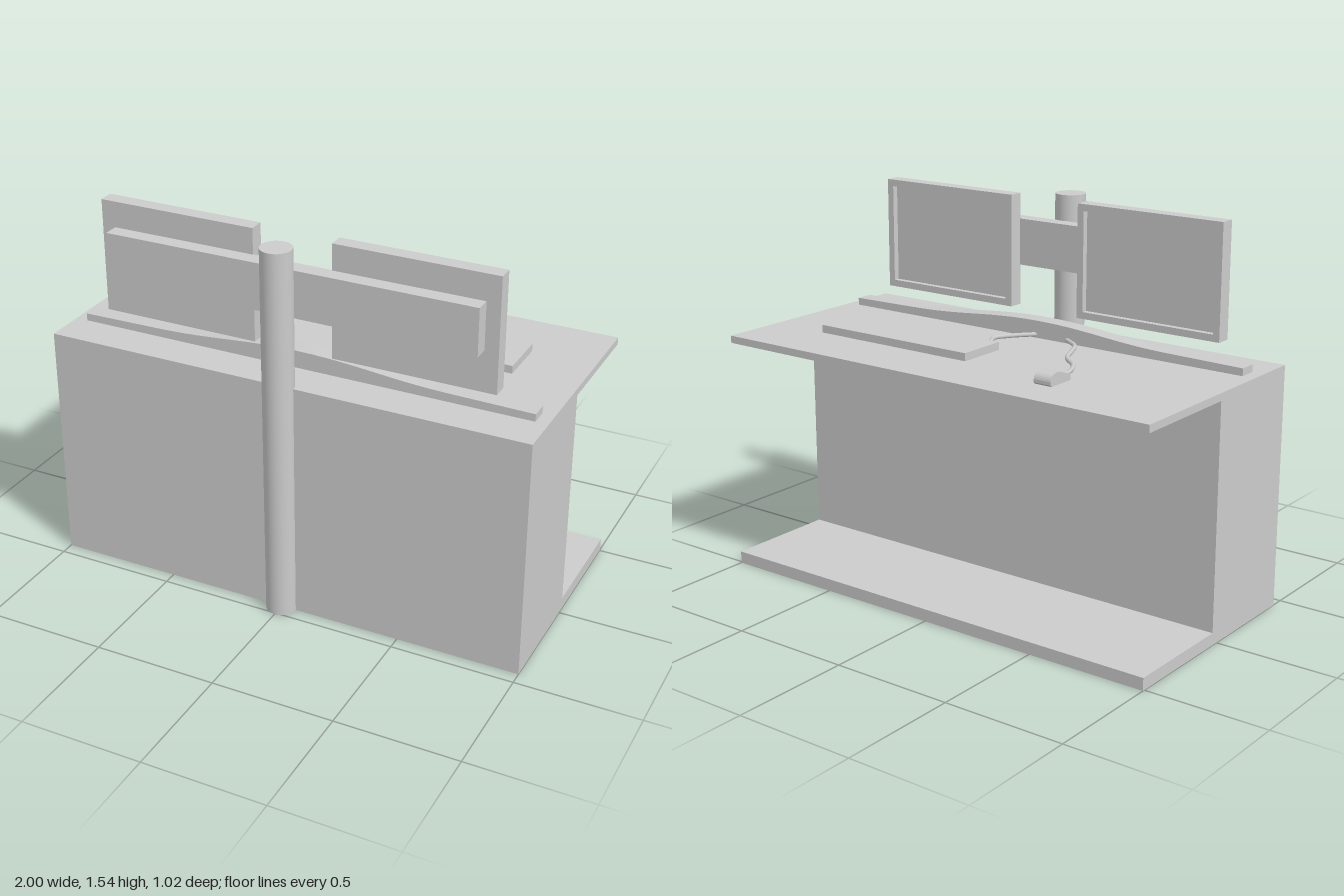
import * as THREE from 'three';

const material = new THREE.MeshStandardMaterial({ color: 0xcccccc });

export function createModel() {
  const model = new THREE.Group();
  model.name = 'controlDesk';

  const add = (name, geometry, parent = model) => {
    const mesh = new THREE.Mesh(geometry, material);
    mesh.name = name;
    parent.add(mesh);
    return mesh;
  };
  // Box given by its extents on each axis
  const box = (name, [x0, x1], [y0, y1], [z0, z1], parent) =>
    add(name, new THREE.BoxGeometry(x1 - x0, y1 - y0, z1 - z0), parent)
      .position.set((x0 + x1) / 2, (y0 + y1) / 2, (z0 + z1) / 2);
  const extrude = (shape, depth, curveSegments = 12) =>
    new THREE.ExtrudeGeometry(shape, { depth, curveSegments, bevelEnabled: false });
  // Turns a shape drawn in (z, y) so that it is extruded along +x
  const alongX = (geometry, x0) => geometry
    .applyMatrix4(new THREE.Matrix4().set(0, 0, 1, x0, 0, 1, 0, 0, -1, 0, 0, 0, 0, 0, 0, 1));
  const rectangle = (x0, x1, y0, y1, Type = THREE.Shape) => new Type()
    .moveTo(x0, y0).lineTo(x1, y0).lineTo(x1, y1).lineTo(x0, y1).closePath();

  const top = 0.985;

  // Desk: C-shaped section with a work surface and a foot plate (drawn with -z to the right)
  const section = new THREE.Shape([
    [-0.445, 0], [0.508, 0], [0.508, 0.05], [0.03, 0.05],
    [0.03, 0.955], [0.508, 0.955], [0.508, top], [-0.445, top],
  ].map(([z, y]) => new THREE.Vector2(z, y)));
  add('desk', alongX(extrude(section, 2), -1));

  // Round post behind the desk
  add('post', new THREE.CylinderGeometry(0.062, 0.062, 1.54, 32)).position.set(0, 0.77, 0.446);

  // Cross arm carrying the monitors
  box('monitorArm', [-0.76, 0.76], [1.245, 1.435], [0.322, 0.388]);

  // Two monitors with recessed screens on the user's side
  for (const side of [-1, 1]) {
    const monitor = new THREE.Group();
    monitor.name = side > 0 ? 'leftMonitor' : 'rightMonitor';
    monitor.position.x = side * 0.4885;
    model.add(monitor);
    const frame = rectangle(-0.3265, 0.3265, 1.08, 1.54);
    frame.holes.push(rectangle(-0.298, 0.298, 1.108, 1.512, THREE.Path));
    add('monitorFrame', extrude(frame, 0.062), monitor).position.z = 0.263;
    box('screen', [-0.298, 0.298], [1.108, 1.512], [0.288, 0.325], monitor);
  }

  // Low ledge swelling towards the middle
  const ledge = new THREE.Shape()
    .moveTo(-0.95, top).lineTo(0.95, top).lineTo(0.95, 1.015)
    .lineTo(0.6, 1.02)
    .bezierCurveTo(0.36, 1.025, 0.24, 1.056, 0, 1.056)
    .bezierCurveTo(-0.24, 1.056, -0.36, 1.025, -0.6, 1.02)
    .lineTo(-0.95, 1.015).closePath();
  add('ledge', extrude(ledge, 0.073)).position.z = 0.21;

  // Keyboard
  box('keyboard', [0, 0.74], [top, 1.017], [-0.246, -0.032]);

  // Mouse: domed side profile
  const mouse = new THREE.Shape()
    .moveTo(0.215, top).lineTo(0.335, top).lineTo(0.343, 0.992).lineTo(0.343, 1.005)
    .bezierCurveTo(0.335, 1.04, 0.29, 1.038, 0.255, 1.022)
    .lineTo(0.215, 1.008).closePath();
  add('mouse', alongX(extrude(mouse, 0.075), -0.47));

  // Cables running into the ledge, as [x, z] points
  const cables = {
    mouseCable: [[-0.433, -0.22], [-0.43, -0.17], [-0.39, -0.085], [-0.31, -0.01],
      [-0.27, 0.075], [-0.23, 0.155], [-0.15, 0.215]],
    keyboardCable: [[0.068, -0.04], [0.07, 0], [0.1, 0.07], [0.07, 0.13], [0, 0.215]],
  };
  for (const [name, points] of Object.entries(cables)) {
    const path = new THREE.CatmullRomCurve3(points.map(([x, z]) => new THREE.Vector3(x, 0.998, z)));
    add(name, new THREE.TubeGeometry(path, 48, 0.009, 8));
  }

  return model;
}
